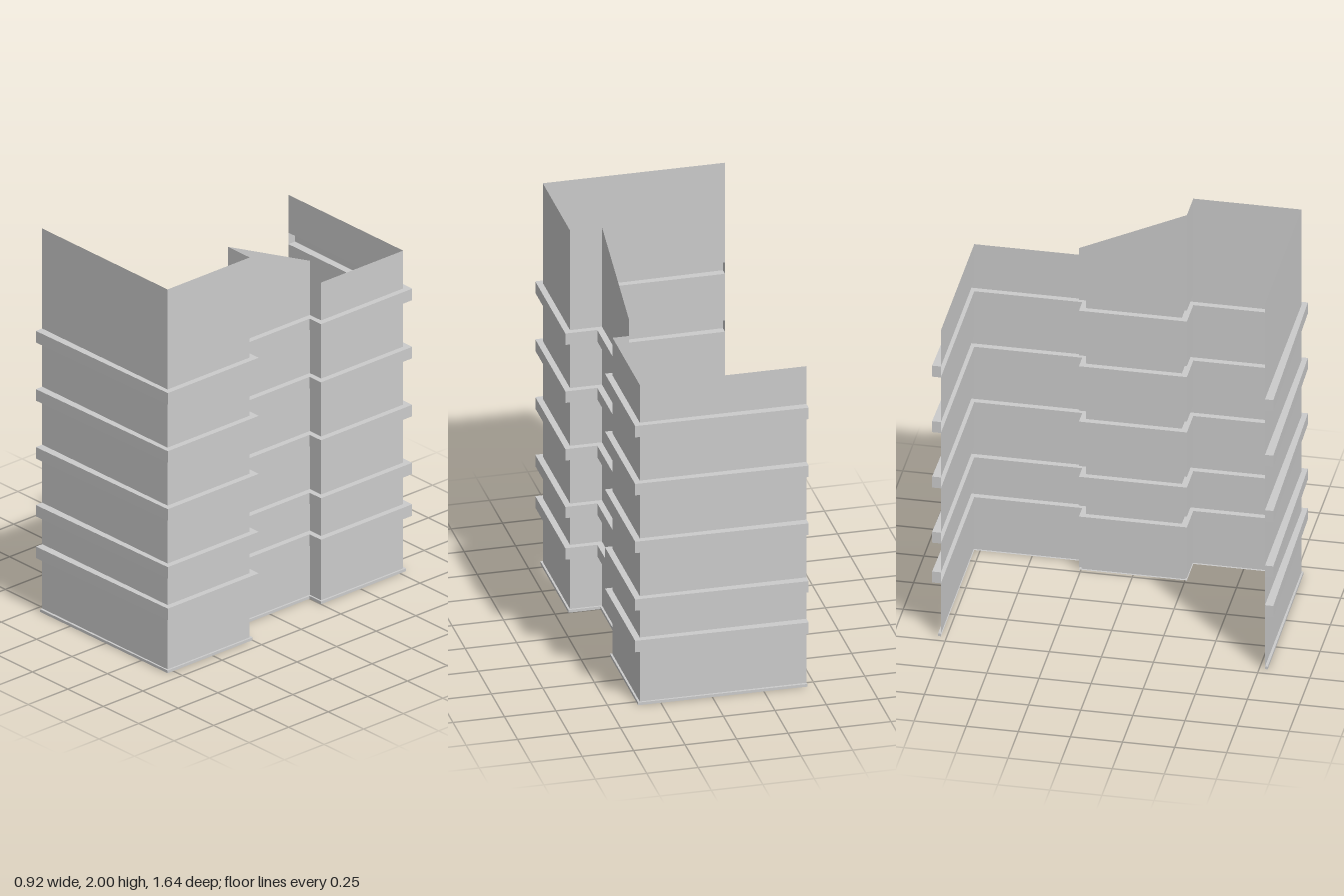
import * as THREE from 'three';

// Wall footprint as [x, z], and the matching outer line of the bands
const WALL = [[-0.46, 0.777], [0.425, 0.777], [0.425, 0.258], [0.27, 0.258],
  [0.27, -0.26], [0.35, -0.26], [0.35, -0.778], [-0.46, -0.778]];
const RIM = [[-0.46, 0.817], [0.455, 0.802], [0.455, 0.228], [0.3, 0.228],
  [0.3, -0.232], [0.38, -0.232], [0.38, -0.808], [-0.46, -0.82]];
// Wall top at the start and end of each footprint segment
const TOPS = [[2, 2], [2, 2], [2, 2], [2, 1.76], [1.675, 1.675], [1.675, 1.675], [1.675, 1.675]];
const BANDS = [[0.29, 0.35], [0.508, 0.567], [0.81, 0.87], [1.113, 1.173], [1.417, 1.477]];
const FLANGE = 0.014;

const material = new THREE.MeshStandardMaterial({ color: 0xcccccc, side: THREE.DoubleSide, flatShading: true });

// Footprint point i pushed out by t (0 = wall, 1 = band face) at height y
function point(i, t, y) {
  const [a, b] = [WALL[i], RIM[i]];
  return [a[0] + (b[0] - a[0]) * t, y, a[1] + (b[1] - a[1]) * t];
}

const quad = (out, a, b, c, d) => out.push(...a, ...b, ...c, ...a, ...c, ...d);

// Sweeps a [push, height] profile along the footprint
function sweep(out, profile) {
  for (let i = 0; i < WALL.length - 1; i++) {
    for (let k = 0; k < profile.length - 1; k++) {
      const [p, q] = [profile[k], profile[k + 1]];
      quad(out, point(i, ...p), point(i + 1, ...p), point(i + 1, ...q), point(i, ...q));
    }
  }
}

// Closes both open ends of a band
function capEnds(out, t, y0, y1) {
  const e = WALL.length - 1;
  quad(out, point(0, t, y0), point(0, t, y1), point(0, 0, y1), point(0, 0, y0));
  quad(out, point(e, 0, y0), point(e, 0, y1), point(e, t, y1), point(e, t, y0));
}

function addMesh(group, name, positions) {
  const geometry = new THREE.BufferGeometry();
  geometry.setAttribute('position', new THREE.Float32BufferAttribute(positions, 3));
  geometry.computeVertexNormals();
  const mesh = new THREE.Mesh(geometry, material);
  mesh.name = name;
  group.add(mesh);
}

export function createModel() {
  const group = new THREE.Group();
  group.name = 'buildingFacade';

  // Wall strips between the bands
  const walls = [];
  let y = FLANGE;
  for (const [low, high] of BANDS) {
    sweep(walls, [[0, y], [0, low]]);
    y = high;
  }
  // Top storey with the sloping recess and the lower rear part
  TOPS.forEach(([a, b], i) =>
    quad(walls, point(i, 0, y), point(i + 1, 0, y), point(i + 1, 0, b), point(i, 0, a)));
  addMesh(group, 'walls', walls);

  // Protruding bands, hollow towards the inside
  BANDS.forEach(([low, high], i) => {
    const band = [];
    sweep(band, [[0, low], [1, low], [1, high], [0, high]]);
    capEnds(band, 1, low, high);
    addMesh(group, `band${i + 1}`, band);
  });

  // Thin flange at the foot
  const flange = [];
  sweep(flange, [[0, 0], [0.33, 0], [0.33, FLANGE], [0, FLANGE]]);
  capEnds(flange, 0.33, 0, FLANGE);
  addMesh(group, 'baseFlange', flange);

  return group;
}
